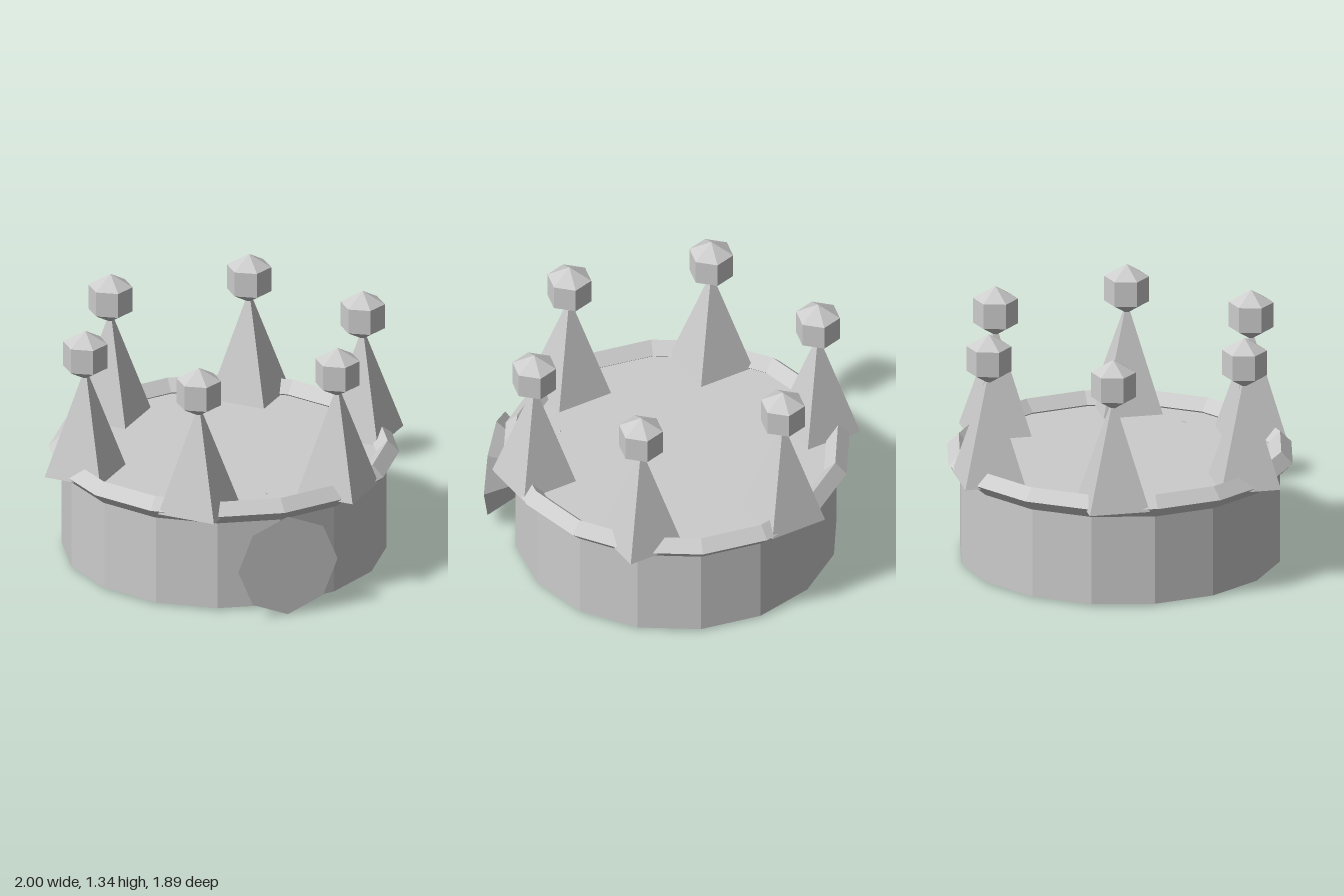
import * as THREE from 'three';

export function createModel() {
  const model = new THREE.Group();
  model.name = 'crown';
  const grey = new THREE.MeshStandardMaterial({ color: 0xcccccc, flatShading: true });
  grey.name = 'plainGrey';

  const centreZ = -0.023;
  const add = (name, geometry, x, y, z, parent = model) => {
    const mesh = new THREE.Mesh(geometry, grey);
    mesh.name = name;
    mesh.position.set(x, y, z);
    parent.add(mesh);
    return mesh;
  };

  // Sixteen-sided drum with a closed top and bottom
  const bottom = 0.01, top = 0.547;
  add('band', new THREE.CylinderGeometry(0.85, 0.85, top - bottom, 16), 0, (top + bottom) / 2, centreZ);

  // Diamond-section rim around the top edge
  add('rim', new THREE.TorusGeometry(0.857, 0.061, 4, 16).rotateX(Math.PI / 2), 0, 0.556, centreZ);

  // Six four-sided spikes, each carrying a low-poly ball
  const spikeGeometry = new THREE.ConeGeometry(0.227, 0.595, 4);
  const ballGeometry = new THREE.SphereGeometry(0.136, 6, 3).rotateY(Math.PI / 2);
  for (let i = 0; i < 6; i++) {
    const angle = (i * Math.PI) / 3;
    const point = new THREE.Group();
    point.name = 'crownPoint' + (i + 1);
    point.position.set(0.773 * Math.cos(angle), 0, centreZ + 0.773 * Math.sin(angle));
    model.add(point);
    add('spike', spikeGeometry, 0, 0.54 + 0.595 / 2, 0, point);
    add('ball', ballGeometry, 0, 1.203, 0, point);
  }

  // Eight-sided waisted jewel set into the front
  const profile = [[0, -0.172], [0.277, -0.172], [0.125, 0], [0.277, 0.172], [0, 0.172]]
    .map(([r, y]) => new THREE.Vector2(r, y));
  add('frontJewel', new THREE.LatheGeometry(profile, 8).rotateX(Math.PI / 2), 0, 0.278, 0.773);

  return model;
}
